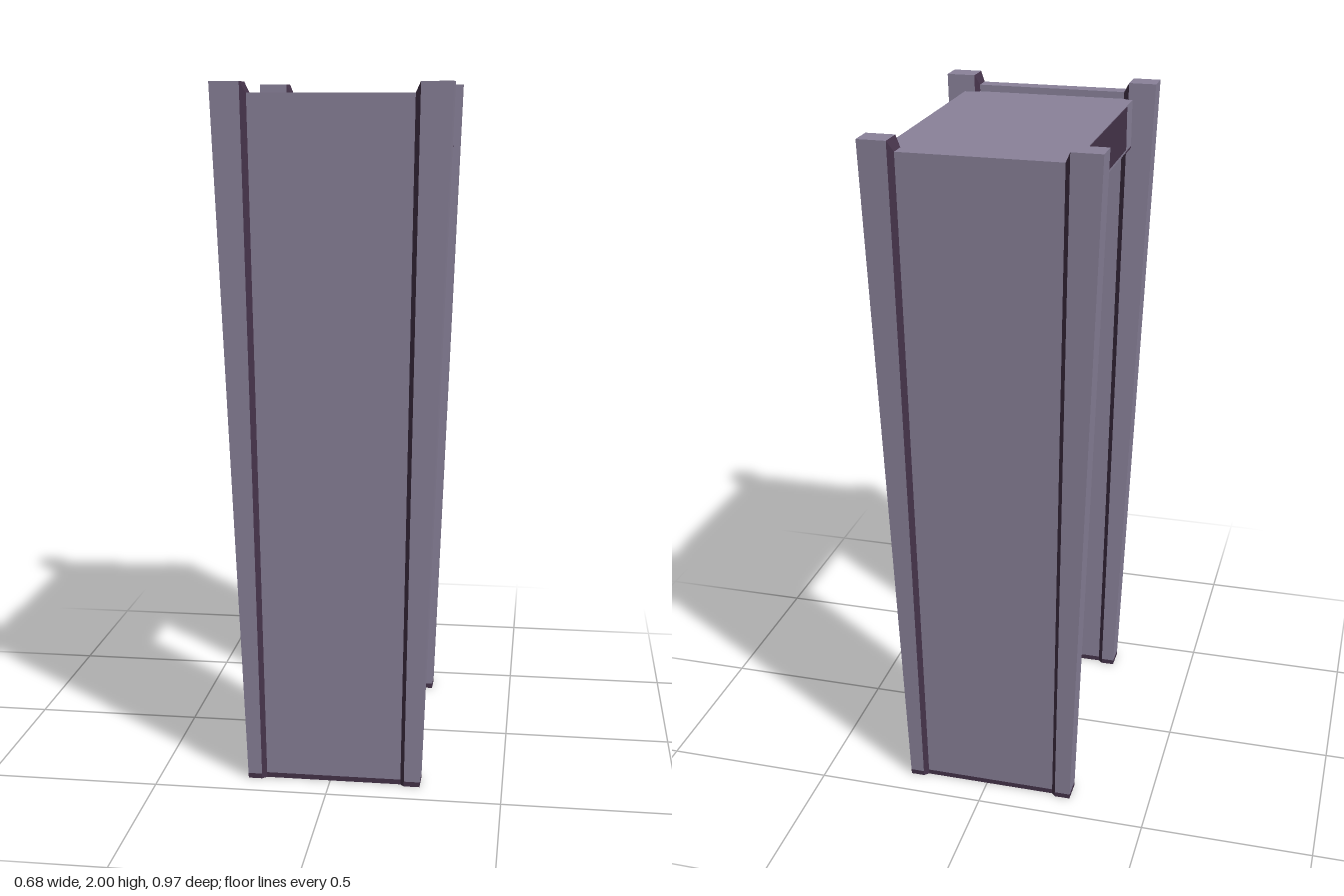
import * as THREE from 'three';

const body = new THREE.MeshStandardMaterial({ name: 'lavender grey', color: 0x8a829a });
const dark = new THREE.MeshStandardMaterial({ name: 'dark plum', color: 0x46344b });
const amber = new THREE.MeshStandardMaterial({ name: 'amber', color: 0xd18a06 });

const HEIGHT = 2;
const lerp = THREE.MathUtils.lerp;

// Stations across one leaning side: [x at floor, x at top, depth inset, top height]
const stations = [
  [-0.24, -0.31, 0, 2],
  [-0.2, -0.228, 0, 2],
  [-0.187, -0.212, 0.012, 1.97],
  [0.206, 0.24, 0.012, 1.97],
  [0.217, 0.254, 0, 2],
  [0.263, 0.34, 0, 2],
];
const partNames = ['narrowPost', 'narrowTrim', 'panel', 'wideTrim', 'widePost'];
const partColours = [body, dark, body, dark, body];

// Box whose corners are placed on two neighbouring stations
function leaningPart(name, a, b, y0, y1, material) {
  const geometry = new THREE.BoxGeometry(1, 1, 1);
  const p = geometry.attributes.position;
  for (let i = 0; i < p.count; i++) {
    const [xFloor, xTop, inset, top] = p.getX(i) < 0 ? a : b;
    const y = p.getY(i) < 0 ? y0 : Math.min(y1, top);
    const t = y / HEIGHT;
    const z = p.getZ(i) > 0 ? lerp(0.42, 0.485, t) - inset : lerp(0.352, 0.41, t) + inset;
    p.setXYZ(i, lerp(xFloor, xTop, t), y, z);
  }
  geometry.computeVertexNormals();
  const mesh = new THREE.Mesh(geometry, material);
  mesh.name = name;
  return mesh;
}

function box(name, x, y, z, w, h, d, material) {
  const mesh = new THREE.Mesh(new THREE.BoxGeometry(w, h, d), material);
  mesh.position.set(x, y, z);
  mesh.name = name;
  return mesh;
}

// One upright side: two posts, two trims, a panel, and dark feet
function upright(name) {
  const group = new THREE.Group();
  group.name = name;
  partNames.forEach((part, i) => {
    const [a, b] = [stations[i], stations[i + 1]];
    group.add(leaningPart(part, a, b, 0.015, HEIGHT, partColours[i]));
    group.add(leaningPart(part + 'Foot', a, b, 0, 0.015, dark));
  });
  return group;
}

export function createModel() {
  const model = new THREE.Group();
  model.name = 'walkThroughGate';

  // Both uprights, the back one turned half round
  const front = upright('frontUpright');
  const back = upright('backUpright');
  back.rotation.y = Math.PI;
  model.add(front, back);

  // Overhead bridge
  const xMid = 0.0225, width = 0.525;
  model.add(box('bridge', xMid, 1.88, 0, width, 0.14, 0.85, body));

  // Display panel and indicator light on each side of the bridge
  for (const s of [-1, 1]) {
    const x = xMid + s * width / 2;
    const label = s > 0 ? 'left' : 'right';
    model.add(box(label + 'Display', x, 1.884, -0.007, 0.004, 0.128, 0.65, dark));
    model.add(box(label + 'Indicator', x, 1.924, -0.245, 0.008, 0.022, 0.125, amber));
    // Dark strip under each end of the bridge
    model.add(box(s > 0 ? 'frontUnderStrip' : 'backUnderStrip',
      xMid, 1.809, s * 0.365, width, 0.006, 0.09, dark));
  }
  return model;
}
